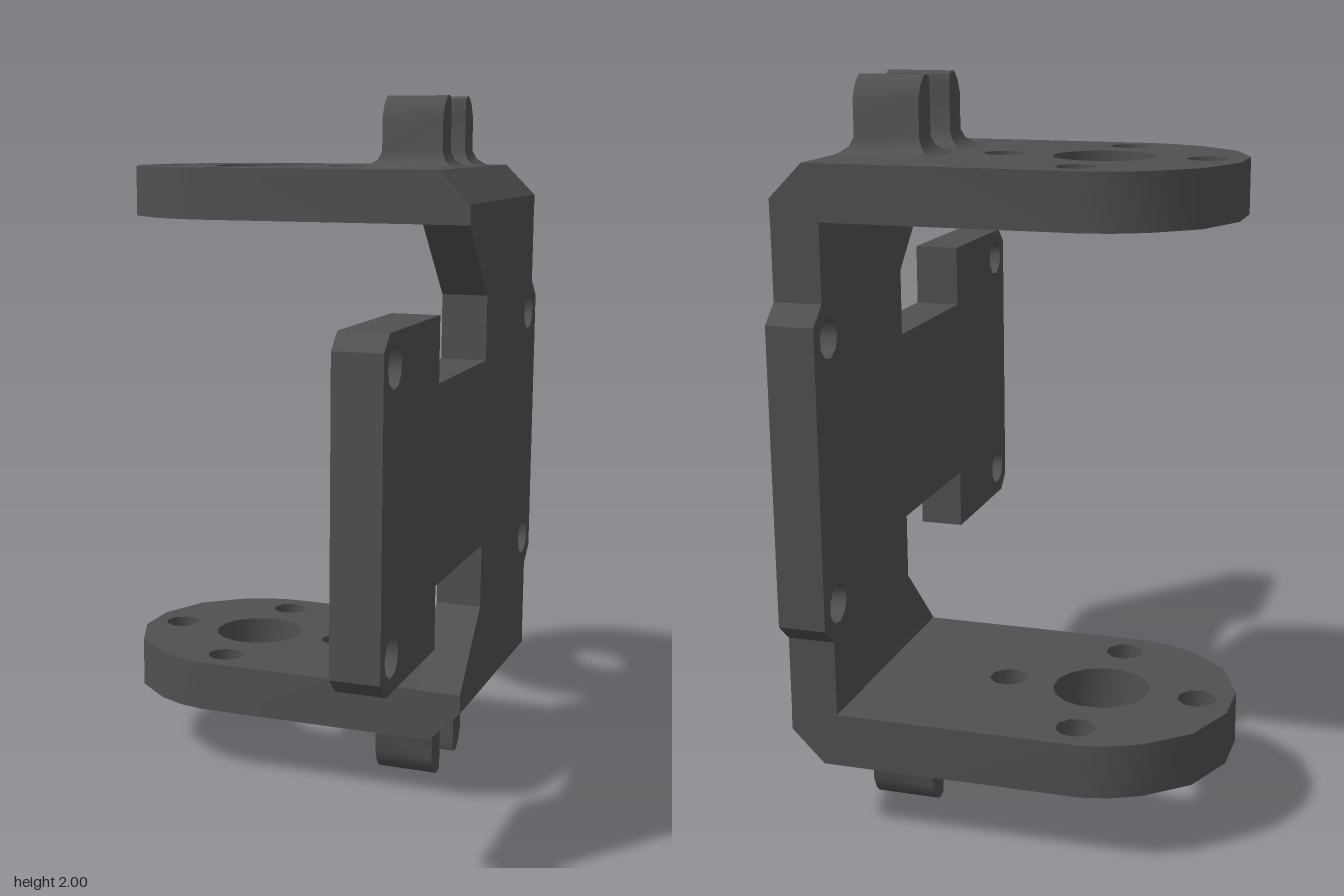
import * as THREE from 'three';
import { toCreasedNormals } from 'three/addons/utils/BufferGeometryUtils.js';

const material = new THREE.MeshStandardMaterial({ color: 0x505050 });

function shapeOf(points, holes = []) {
  const shape = new THREE.Shape(points.map(([x, y]) => new THREE.Vector2(x, y)));
  for (const [cx, cy, r, sides] of holes) {
    const ring = [];
    for (let i = 0; i < sides; i++) {
      const a = ((i + 0.5) / sides) * Math.PI * 2;
      ring.push(new THREE.Vector2(cx + r * Math.cos(a), cy + r * Math.sin(a)));
    }
    shape.holes.push(new THREE.Path(ring));
  }
  return shape;
}

const extrude = (shape, depth) => new THREE.ExtrudeGeometry(shape, { depth, bevelEnabled: false });

// Reflects a geometry about y = 1 and restores the outward winding
function mirrored(geometry) {
  const g = geometry.clone();
  const p = g.attributes.position;
  const a = new THREE.Vector3(), b = new THREE.Vector3();
  for (let i = 0; i < p.count; i++) p.setY(i, 2 - p.getY(i));
  for (let i = 0; i < p.count; i += 3) {
    a.fromBufferAttribute(p, i + 1);
    b.fromBufferAttribute(p, i + 2);
    p.setXYZ(i + 1, b.x, b.y, b.z);
    p.setXYZ(i + 2, a.x, a.y, a.z);
  }
  return g;
}

// Lofts rectangular sections [y, x0, x1, z0, z1] from bottom to top
function loft(sections) {
  const pos = [], index = [];
  for (const [y, x0, x1, z0, z1] of sections) pos.push(x0, y, z1, x1, y, z1, x1, y, z0, x0, y, z0);
  for (let s = 0; s < sections.length - 1; s++) {
    for (let i = 0; i < 4; i++) {
      const a = s * 4 + i, b = s * 4 + ((i + 1) % 4);
      index.push(a, b, b + 4, a, b + 4, a + 4);
    }
  }
  const t = (sections.length - 1) * 4;
  index.push(t, t + 1, t + 2, t, t + 2, t + 3);
  const g = new THREE.BufferGeometry();
  g.setAttribute('position', new THREE.Float32BufferAttribute(pos, 3));
  g.setIndex(index);
  return g.toNonIndexed();
}

// Upright back plate with waist and screw holes, drawn as (-z, y)
function plateGeometry() {
  const upper = [
    [-0.755, 1.4], [-0.71, 1.443], [-0.3, 1.443], [-0.3, 1.268], [0.165, 1.268],
    [0.165, 1.45], [-0.035, 1.655], [0.7, 1.655], [0.7, 1.45], [0.755, 1.4],
  ];
  const lower = upper.map(([u, y]) => [u, 2 - y]).reverse();
  const holes = [];
  for (const u of [-0.67, 0.665]) for (const y of [1.357, 0.647]) holes.push([u, y, 0.054, 9]);
  const g = extrude(shapeOf([...upper, ...lower], holes), 0.13);
  return g.rotateY(Math.PI / 2).translate(0.43, 0, 0);
}

// Horizontal arm with rounded end, drawn as (x, -z)
function armGeometry() {
  const mid = 0.335;
  const half = [[0.43, 0.367], [-0.24, 0.367], [-0.31, 0.352], [-0.39, 0.315], [-0.5, 0.22], [-0.562, 0.07]];
  const outline = [
    ...half.map(([x, d]) => [x, mid + d]),
    ...half.map(([x, d]) => [x, mid - d]).reverse(),
  ];
  const holes = [[-0.2, mid, 0.134, 16]];
  for (const [dx, dz] of [[1, 0], [-1, 0], [0, 1], [0, -1]]) {
    holes.push([-0.2 + dx * 0.267, mid + dz * 0.267, 0.054, 9]);
  }
  return extrude(shapeOf(outline, holes), 0.145).rotateX(-Math.PI / 2).translate(0, 1.655, 0);
}

// Chamfered corner between arm and plate
function cornerGeometry() {
  const profile = [[0.43, 1.655], [0.56, 1.655], [0.56, 1.71], [0.47, 1.8], [0.43, 1.8]];
  return extrude(shapeOf(profile), 0.734).translate(0, 0, -0.702);
}

// Prong with flared foot; its tip is rounded more on the outer side
function prongGeometry(outerZ, innerZ) {
  const dir = Math.sign(innerZ - outerZ);
  // [y, flare, outer inset, inner inset]
  const levels = [
    [1.798, 0.05, 0, 0], [1.808, 0.028, 0, 0], [1.822, 0.01, 0, 0], [1.845, 0, 0, 0],
    [1.94, 0, 0, 0], [1.975, 0, 0.017, 0], [1.993, 0, 0.035, 0.004], [2, 0, 0.047, 0.016],
  ];
  return loft(levels.map(([y, f, o, i]) => {
    const a = outerZ + dir * (o - f), b = innerZ - dir * (i - f);
    return [y, 0.243 - f, 0.42 + f, Math.min(a, b), Math.max(a, b)];
  }));
}

export function createModel() {
  const model = new THREE.Group();
  model.name = 'servoBracket';
  // Rounded runs shade smoothly, chamfers and corners stay sharp
  const add = (name, geometry, parent) => {
    const mesh = new THREE.Mesh(toCreasedNormals(geometry, 0.72), material);
    mesh.name = name;
    parent.add(mesh);
  };

  add('backPlate', plateGeometry(), model);

  const parts = {
    Arm: armGeometry(),
    Corner: cornerGeometry(),
    FrontProng: prongGeometry(-0.175, -0.257),
    RearProng: prongGeometry(-0.487, -0.405),
  };
  for (const side of ['upper', 'lower']) {
    const group = new THREE.Group();
    group.name = side + 'Bracket';
    for (const [name, geometry] of Object.entries(parts)) {
      add(side + name, side === 'upper' ? geometry : mirrored(geometry), group);
    }
    model.add(group);
  }
  return model;
}
